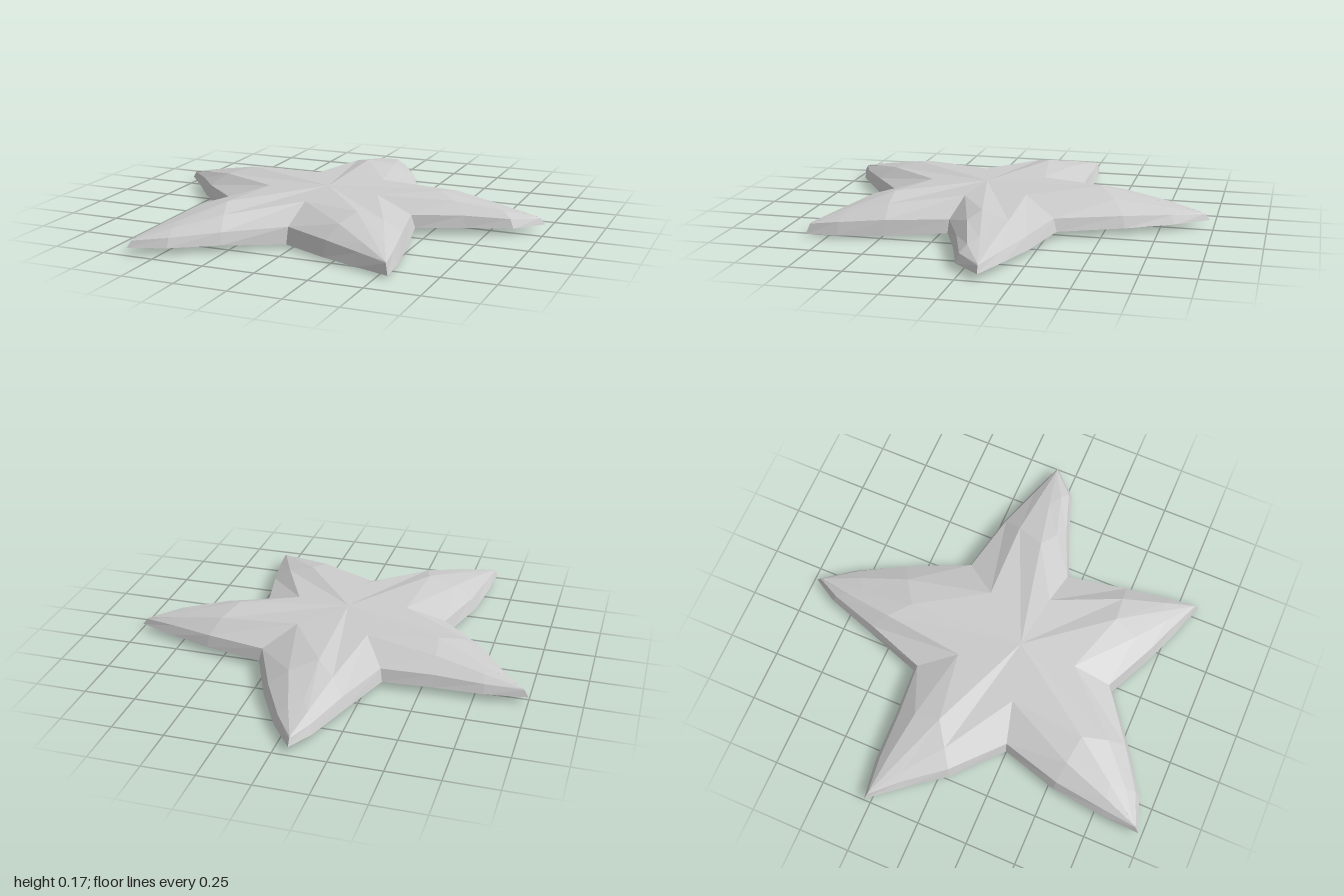
import * as THREE from 'three';

// Outline (x, z), clockwise from above; per arm: tip, two side points, valley, two side points of the next arm
const OUTLINE = [
  [-0.07, -0.98], [0.05, -0.82], [0.17, -0.60], [0.30, -0.30], [0.59, -0.24], [0.80, -0.17],
  [0.99, -0.10], [0.87, 0.03], [0.66, 0.10], [0.44, 0.19], [0.50, 0.48], [0.54, 0.70],
  [0.55, 0.85], [0.38, 0.79], [0.20, 0.72], [-0.03, 0.61], [-0.27, 0.79], [-0.47, 0.92],
  [-0.64, 0.98], [-0.63, 0.79], [-0.60, 0.53], [-0.52, 0.25], [-0.74, 0.05], [-0.87, -0.12],
  [-1.00, -0.28], [-0.80, -0.31], [-0.56, -0.315], [-0.32, -0.33], [-0.22, -0.62], [-0.14, -0.86],
];
const CENTRE = new THREE.Vector3(-0.03, 0.172, 0.12);

// By station within an arm: position along the arm's ridge, and heights of ridge and rim
const ALONG = [0.04, 0.24, 0.48, 1, 0.48, 0.24];
const RIDGE_Y = [0.068, 0.118, 0.172, CENTRE.y, 0.172, 0.118];
const RIM_Y = [0.06, 0.072, 0.085, 0.09, 0.085, 0.072];

// One cross-section from the base edge up to the ridge of its arm
function section(i) {
  const n = OUTLINE.length, k = i % 6;
  const [x, z] = OUTLINE[i];
  const tip = OUTLINE[(Math.round(i / 6) * 6) % n];
  const low = Math.floor((i + 2) / 6) === 2 ? 0.012 : 0.03; // one arm droops a little
  const base = new THREE.Vector3(x, low, z);
  const ridge = new THREE.Vector3(tip[0], 0, tip[1]).lerp(CENTRE, ALONG[k]).setY(RIDGE_Y[k]);

  const inward = ridge.clone().sub(base).setY(0).normalize();
  const rim = base.clone().addScaledVector(inward, 0.022).setY(RIM_Y[k]);
  const shoulder = rim.clone().lerp(ridge, 0.4);
  shoulder.y = rim.y + (ridge.y - rim.y) * (k === 3 ? 0.88 : 0.66);
  return [base, rim, shoulder, ridge];
}

function bodyGeometry() {
  const sections = OUTLINE.map((_, i) => section(i));
  const under = CENTRE.clone().setY(0);
  const positions = [];
  const tri = (a, b, c) => {
    for (const p of [a, b, c]) positions.push(p.x, p.y, p.z);
  };
  sections.forEach((s, i) => {
    const t = sections[(i + 1) % sections.length];
    for (let j = 0; j < 3; j++) {
      tri(t[j], s[j], s[j + 1]);
      if (t[j + 1].distanceTo(s[j + 1]) > 1e-6) tri(t[j], s[j + 1], t[j + 1]);
    }
    // Underside
    tri(s[0], t[0], under);
  });
  const geometry = new THREE.BufferGeometry();
  geometry.setAttribute('position', new THREE.Float32BufferAttribute(positions, 3));
  geometry.computeVertexNormals();
  return geometry;
}

export function createModel() {
  const group = new THREE.Group();
  group.name = 'starfish';
  const material = new THREE.MeshStandardMaterial({ color: 0xcccccc, flatShading: true });
  const body = new THREE.Mesh(bodyGeometry(), material);
  body.name = 'starfishBody';
  group.add(body);
  return group;
}
